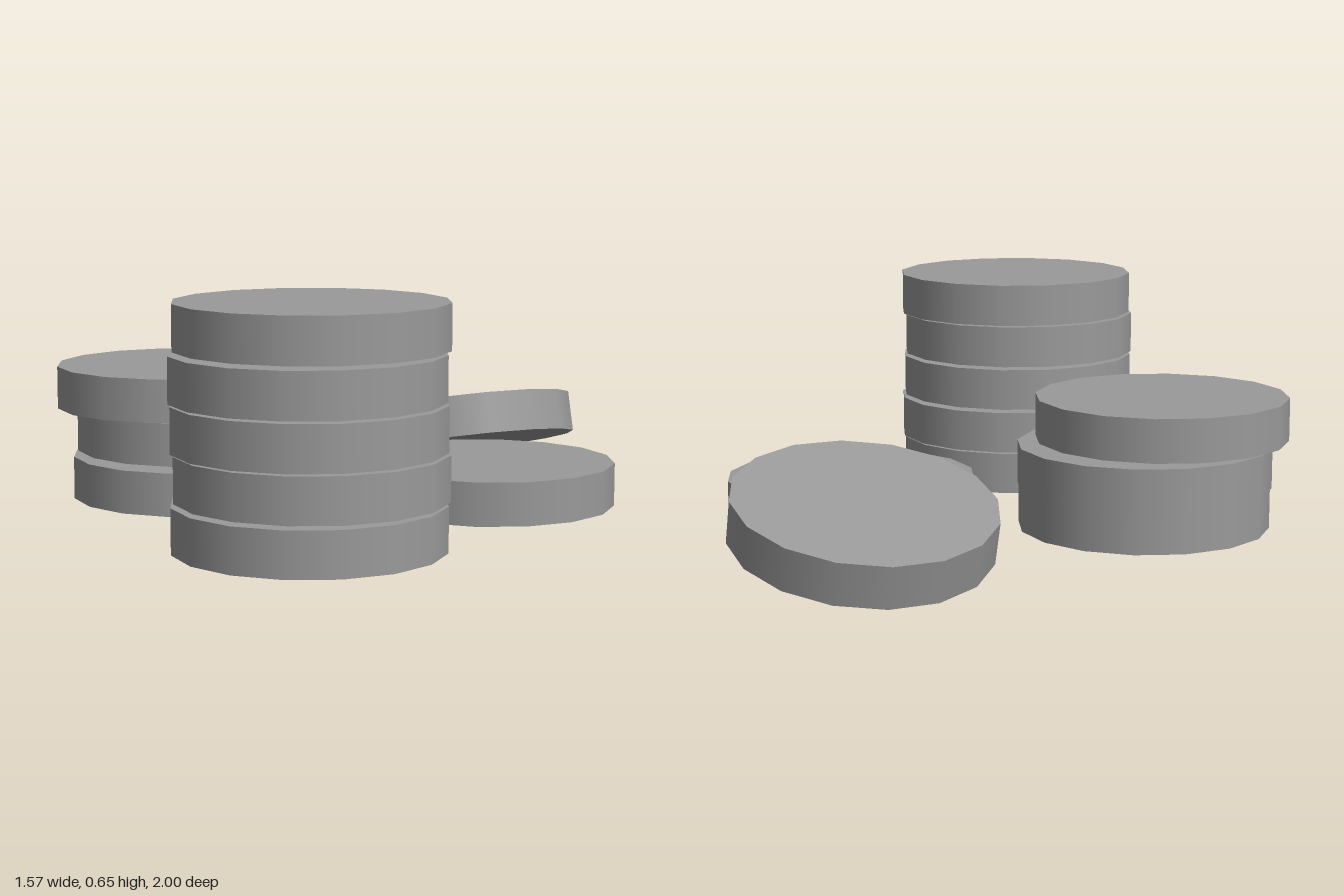
import * as THREE from 'three';

const RADIUS = 0.355, THICKNESS = 0.12, STEP = 0.1275;

export function createModel() {
  const group = new THREE.Group();
  group.name = 'discPiles';
  const material = new THREE.MeshStandardMaterial({ color: 0x9a9a9a });
  const geometry = new THREE.CylinderGeometry(RADIUS, RADIUS, THICKNESS, 16);
  geometry.rotateY(-0.14);

  const addDisc = (parent, name, x, y, z) => {
    const disc = new THREE.Mesh(geometry, material);
    disc.name = name;
    disc.position.set(x, y, z);
    parent.add(disc);
    return disc;
  };

  // Stacks of slightly shifted discs: [x, z] from the bottom up
  const stacks = {
    tallStack: [[0.223, 0.638], [0.223, 0.623], [0.223, 0.638], [0.223, 0.648], [0.223, 0.624]],
    shortStack: [[-0.38, 0.085], [-0.4, 0.027], [-0.433, 0.08]],
    singleDisc: [[0.43, -0.128]],
  };
  for (const [name, centres] of Object.entries(stacks)) {
    const stack = new THREE.Group();
    stack.name = name;
    centres.forEach(([x, z], i) => addDisc(stack, 'disc' + (i + 1), x, 0.083 + i * STEP, z));
    group.add(stack);
  }

  // Disc leaning on the edge of the single one
  const leaning = addDisc(group, 'leaningDisc', 0.143, 0.15, -0.645);
  leaning.quaternion.setFromUnitVectors(
    new THREE.Vector3(0, 1, 0),
    new THREE.Vector3(-0.195, 0.966, -0.17).normalize()
  );

  return group;
}
